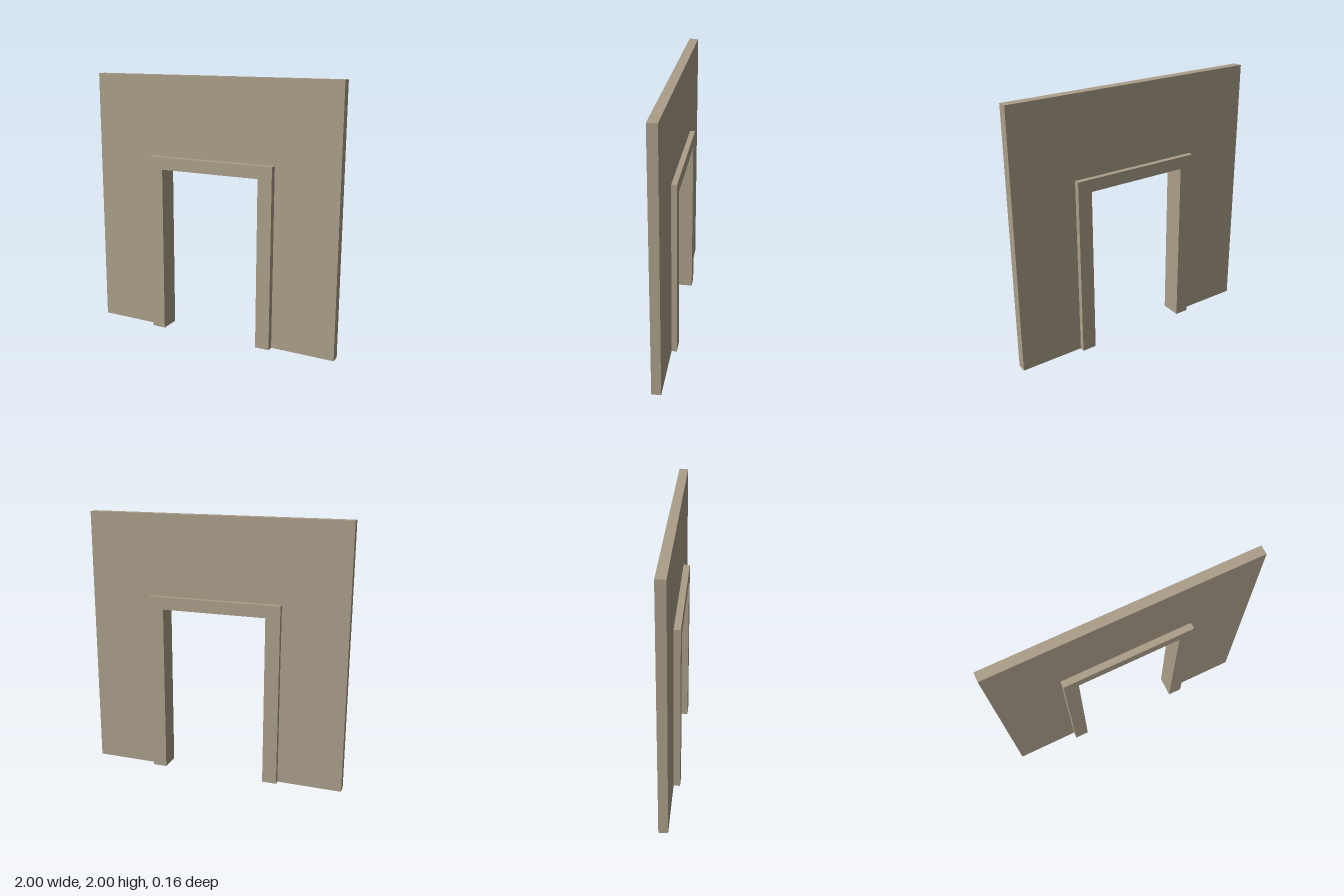
import * as THREE from 'three';

const OPEN_X = 0.4, OPEN_Y = 1.29; // doorway half width and height

// Slab with the doorway cut out of its foot, spanning z0 to z1
function portal(name, halfWidth, height, z0, z1, material) {
  const shape = new THREE.Shape([
    [-halfWidth, 0], [-OPEN_X, 0], [-OPEN_X, OPEN_Y], [OPEN_X, OPEN_Y],
    [OPEN_X, 0], [halfWidth, 0], [halfWidth, height], [-halfWidth, height],
  ].map(([x, y]) => new THREE.Vector2(x, y)));
  const geometry = new THREE.ExtrudeGeometry(shape, { depth: z1 - z0, bevelEnabled: false });
  geometry.translate(0, 0, z0);
  const mesh = new THREE.Mesh(geometry, material);
  mesh.name = name;
  return mesh;
}

export function createModel() {
  const plaster = new THREE.MeshStandardMaterial({ color: 0xac9f8a });
  plaster.name = 'taupe plaster';

  const group = new THREE.Group();
  group.name = 'doorwayWall';
  group.add(
    // Thin wall panel, set slightly towards the back
    portal('wall', 1, 2, -0.04, 0.03, plaster),
    // Door surround standing proud on both sides
    portal('doorFrame', 0.51, 1.385, -0.08, 0.08, plaster),
  );
  return group;
}
